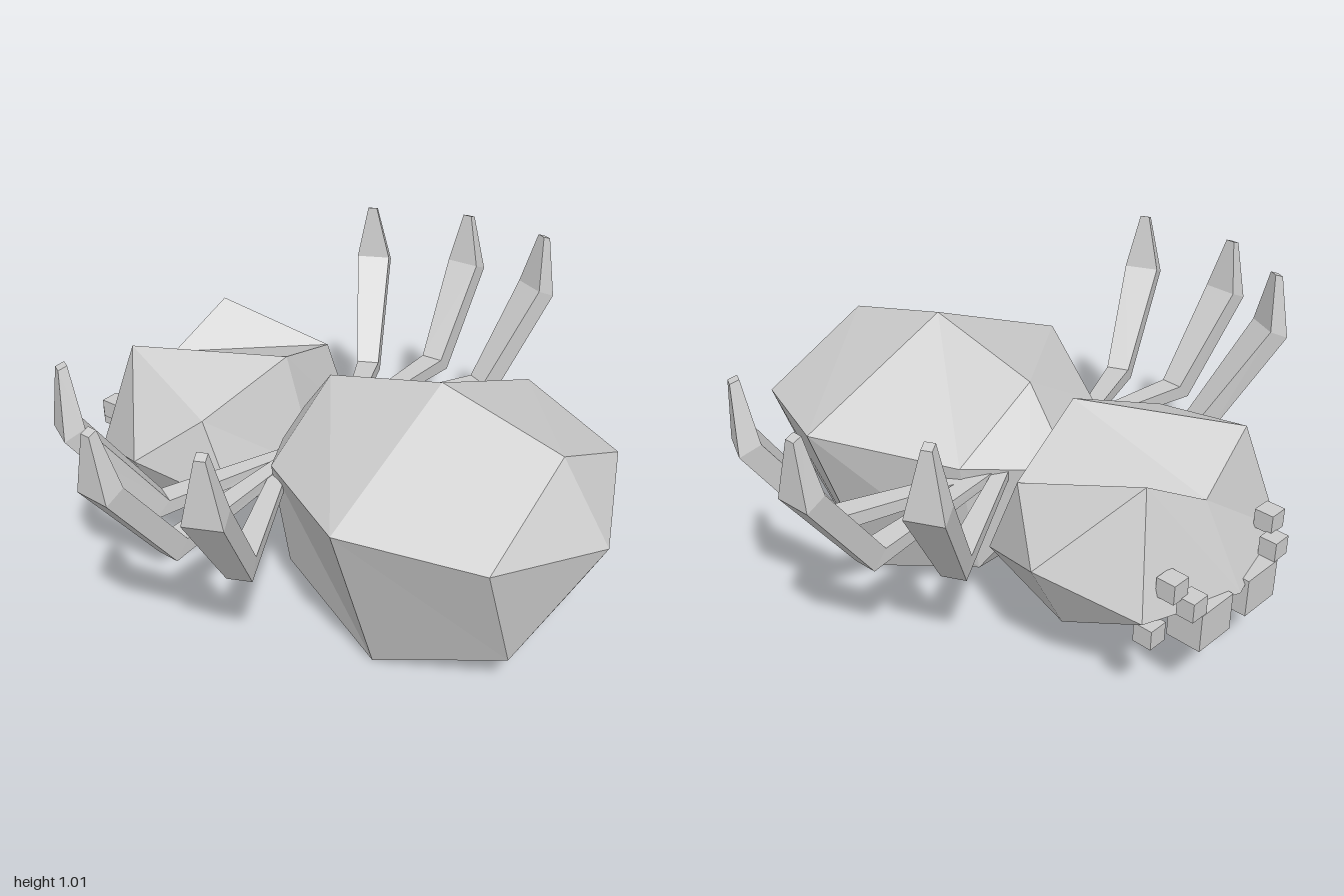
import * as THREE from 'three';

const grey = new THREE.MeshStandardMaterial({ color: 0xcccccc, flatShading: true });
grey.name = 'plain grey';

// Skin a list of equal-length point rings, close both ends, and face it outward
function loft(rings) {
  const tris = [];
  const add = (a, b, c) => tris.push([a, b, c].map(p => new THREE.Vector3(...p)));
  const n = rings[0].length;
  for (let r = 0; r < rings.length - 1; r++) {
    for (let i = 0; i < n; i++) {
      const j = (i + 1) % n, A = rings[r], B = rings[r + 1];
      add(A[i], A[j], B[j]);
      add(A[i], B[j], B[i]);
    }
  }
  const first = rings[0], last = rings[rings.length - 1];
  for (let i = 1; i < n - 1; i++) {
    add(first[0], first[i + 1], first[i]);
    add(last[0], last[i], last[i + 1]);
  }
  const solid = tris.filter(([a, b, c]) =>
    b.clone().sub(a).cross(c.clone().sub(a)).length() > 1e-7);
  const volume = solid.reduce((s, [a, b, c]) => s + a.dot(b.clone().cross(c)), 0);
  const points = solid.flatMap(([a, b, c]) => (volume < 0 ? [a, c, b] : [a, b, c]));
  const geo = new THREE.BufferGeometry().setFromPoints(points);
  geo.computeVertexNormals();
  return geo;
}

function addMesh(parent, name, geo) {
  const mesh = new THREE.Mesh(geo, grey);
  mesh.name = name;
  parent.add(mesh);
  return mesh;
}

// Five-sided ring facing z, from its top height, shoulder and base corners
const pentagon = (z, top, sx, sy, bx, by) =>
  [[0, top, z], [sx, sy, z], [bx, by, z], [-bx, by, z], [-sx, sy, z]];

// Square ring across a leg: t is the sideways half width,
// nr and ny lean the other half width along the leg plane
function legRing([x, y, z], [ux, uz], t, nr, ny) {
  return [[1, 1], [1, -1], [-1, -1], [-1, 1]].map(([a, b]) => [
    x - uz * t * a + ux * nr * b,
    y + ny * b,
    z + ux * t * a + uz * nr * b,
  ]);
}

export function createModel() {
  const model = new THREE.Group();
  model.name = 'spider';

  // Abdomen, tapering to a narrow waist at the back
  addMesh(model, 'abdomen', loft([
    pentagon(0.945, 0.5, 0, 0.5, 0, 0.5),
    pentagon(0.77, 0.76, 0.41, 0.57, 0.25, 0.15),
    pentagon(0.34, 0.87, 0.58, 0.625, 0.36, 0.005),
    pentagon(-0.09, 0.76, 0.32, 0.57, 0.24, 0.15),
    pentagon(-0.205, 0.6, 0.12, 0.53, 0.08, 0.37),
  ]));

  // Head: five-sided rings strung between a pole on each side
  const pole = s => Array(5).fill([s * 0.48, 0.495, -0.55]);
  const cheek = s => [
    [s * 0.34, 0.235, -0.55], [s * 0.34, 0.39, -0.85], [s * 0.24, 0.765, -0.76],
    [s * 0.34, 0.65, -0.36], [s * 0.34, 0.36, -0.24],
  ];
  const middle = [
    [0, 0.105, -0.55], [0, 0.37, -0.95], [0, 0.63, -0.8],
    [0, 0.77, -0.275], [0, 0.36, -0.155],
  ];
  addMesh(model, 'head', loft([pole(-1), cheek(-1), middle, cheek(1), pole(1)]));

  // Each leg: root, knee, widest point and tip
  const legs = [
    ['frontLeg', [0.1, 0.53, -0.17], [0.69, 0.475, 0.095], [0.905, 0.81, 0.175], [0.915, 1.01, 0.185]],
    ['middleLeg', [0.1, 0.53, -0.11], [0.73, 0.48, -0.14], [0.965, 0.8, -0.16], [0.975, 0.99, -0.165]],
    ['backLeg', [0.1, 0.53, -0.1], [0.58, 0.465, -0.345], [0.79, 0.81, -0.47], [0.785, 1.01, -0.475]],
  ];
  // Each eye: centre and size
  const eyes = [
    ['largeEye', [0.115, 0.325, -0.89], [0.15, 0.13, 0.12]],
    ['upperEye', [0.205, 0.425, -0.92], [0.065, 0.065, 0.06]],
    ['topEye', [0.242, 0.485, -0.873], [0.065, 0.065, 0.065]],
    ['outerEye', [0.302, 0.345, -0.848], [0.065, 0.065, 0.065]],
  ];

  for (const s of [1, -1]) {
    const side = s > 0 ? 'left' : 'right';
    const flip = ([x, y, z]) => [s * x, y, z];
    for (const [name, root, knee, wide, tip] of legs) {
      const d = new THREE.Vector2(knee[0] - root[0], knee[2] - root[2]).normalize();
      const u = [d.x, d.y];
      const rings = [
        legRing(root, u, 0.02, 0, 0.015),
        legRing(knee, u, 0.04, -0.025, 0.028),
        legRing(wide, u, 0.06, -0.033, 0.015),
        legRing(tip, u, 0.016, -0.014, 0.005),
      ];
      addMesh(model, `${side} ${name}`, loft(rings.map(r => r.map(flip))));
    }
    for (const [name, centre, size] of eyes) {
      addMesh(model, `${side} ${name}`, new THREE.BoxGeometry(...size))
        .position.set(...flip(centre));
    }
  }
  return model;
}
